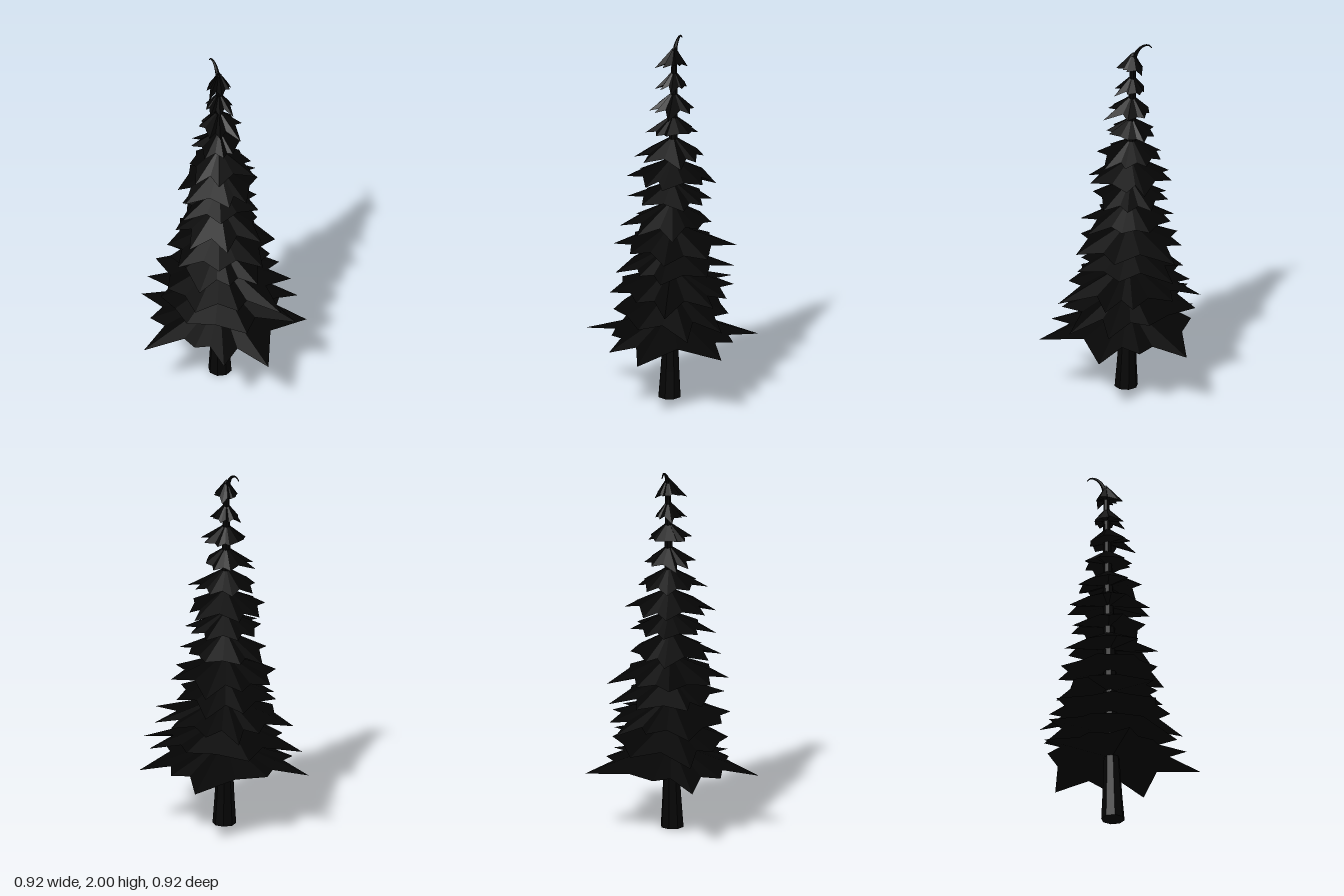
import * as THREE from 'three';

const bark = new THREE.MeshStandardMaterial({ color: 0x040404, flatShading: true });
const needles = new THREE.MeshStandardMaterial({ color: 0x040404, flatShading: true, side: THREE.DoubleSide });

// Small seeded generator returning values in -1..1
let seed = 11;
const jitter = () => {
  seed = (seed * 16807) % 2147483647;
  return (seed / 2147483647) * 2 - 1;
};

// The trunk leans slightly: offset of its axis (same in x and z) at a height
const axis = y => 0.012 - 0.0135 * y;

// Upper tiers: apex height, tip height, then reach to -x, +x, +z, -z
const upperTiers = [
  [1.96, 1.84, 0.065, 0.055, 0.09, 0.085],
  [1.83, 1.72, 0.095, 0.095, 0.09, 0.08],
  [1.71, 1.59, 0.10, 0.155, 0.12, 0.12],
  [1.58, 1.465, 0.17, 0.11, 0.14, 0.14],
  [1.46, 1.335, 0.18, 0.20, 0.20, 0.17],
  [1.34, 1.215, 0.225, 0.215, 0.24, 0.235],
  [1.21, 1.095, 0.20, 0.21, 0.24, 0.215],
  [1.10, 0.955, 0.25, 0.275, 0.275, 0.21],
  [0.97, 0.825, 0.285, 0.315, 0.31, 0.345],
  [0.85, 0.71, 0.27, 0.295, 0.30, 0.335],
];

// Lower tiers: apex height, tip height, branch tips as x, z
const lowerTiers = [
  [0.73, 0.58, [[0.435, 0.04], [0.26, 0.19], [0.08, 0.33], [-0.15, 0.26], [-0.375, 0.06],
    [-0.28, -0.16], [-0.24, -0.32], [-0.05, -0.33], [0.18, -0.29], [0.31, -0.22]]],
  [0.61, 0.45, [[0.445, -0.08], [0.31, 0.18], [0.01, 0.31], [-0.24, 0.2],
    [-0.425, 0.065], [-0.26, -0.24], [0.08, -0.3], [0.32, -0.265]]],
  [0.48, 0.32, [[0.455, 0.185], [0.272, 0.335], [0.07, 0.32], [-0.165, 0.457], [-0.28, 0.24],
    [-0.46, 0.07], [-0.312, -0.125], [-0.05, -0.46], [0.16, -0.325], [0.38, -0.262]]],
];

// Four long branches roughly on the axes with shorter ones between
function scatterTips([, , left, right, front, back]) {
  const j = () => jitter() * 0.3;
  const main = [[right, right * j()], [front * j(), front], [-left, left * j()], [back * j(), -back]];
  return main.flatMap((p, i) => {
    const q = main[(i + 1) % 4];
    const r = 0.45 * (Math.hypot(...p) + Math.hypot(...q)) * (1 + 0.1 * jitter());
    const a = (i + 0.5) * Math.PI / 2 + 0.2 * jitter();
    return [p, [r * Math.cos(a), r * Math.sin(a)]];
  });
}

// A star-shaped cone: long tips hang lowest, notches sit higher on the slope
function branchTier(apexY, tipY, tips) {
  const c = axis(apexY);
  const drop = apexY - tipY;
  const apex = [c, apexY, c];
  const under = [c, tipY + 0.26 * drop, c];
  const sorted = tips.map(([x, z]) => ({ a: Math.atan2(z, x), r: Math.hypot(x, z), x, z }))
    .sort((p, q) => p.a - q.a);
  const mean = sorted.reduce((s, p) => s + p.r, 0) / sorted.length;
  const longest = Math.max(...sorted.map(p => p.r));
  const ring = [];
  sorted.forEach((p, i) => {
    const q = sorted[(i + 1) % sorted.length];
    const gap = (q.a - p.a + Math.PI * 2) % (Math.PI * 2);
    const mid = p.a + gap / 2;
    const r = Math.min(0.74 * mean, 0.9 * Math.min(p.r, q.r));
    ring.push([p.x, tipY + 0.75 * drop * (1 - p.r / longest), p.z]);
    ring.push([c + r * Math.cos(mid), tipY + drop * (0.27 + 0.05 * jitter()), c + r * Math.sin(mid)]);
  });
  const verts = [];
  ring.forEach((a, i) => {
    const b = ring[(i + 1) % ring.length];
    verts.push(...apex, ...b, ...a, ...under, ...a, ...b);
  });
  const geo = new THREE.BufferGeometry();
  geo.setAttribute('position', new THREE.Float32BufferAttribute(verts, 3));
  geo.computeVertexNormals();
  return new THREE.Mesh(geo, needles);
}

// Tapered trunk that follows the leaning axis
function makeTrunk() {
  const profile = [[0, 0], [0.063, 0], [0.053, 0.15], [0.042, 0.36], [0.034, 1], [0.024, 1.5], [0.015, 1.94], [0, 1.95]];
  const geo = new THREE.LatheGeometry(profile.map(p => new THREE.Vector2(...p)), 8, Math.PI / 8);
  const pos = geo.attributes.position;
  for (let i = 0; i < pos.count; i++) {
    const o = axis(pos.getY(i));
    pos.setX(i, pos.getX(i) + o);
    pos.setZ(i, pos.getZ(i) + o);
  }
  geo.computeVertexNormals();
  return new THREE.Mesh(geo, bark);
}

// Thin shoot at the top, curling over and narrowing to a point
function makeLeader() {
  const curve = new THREE.CatmullRomCurve3([
    [-0.014, 1.9, -0.014], [-0.03, 1.95, -0.02], [-0.05, 1.98, -0.03],
    [-0.075, 1.994, -0.042], [-0.095, 1.99, -0.05], [-0.107, 1.975, -0.055],
  ].map(p => new THREE.Vector3(...p)));
  const steps = 14, sides = 6;
  const geo = new THREE.TubeGeometry(curve, steps, 0.015, sides);
  const pos = geo.attributes.position;
  const v = new THREE.Vector3();
  for (let i = 0; i < pos.count; i++) {
    const t = Math.floor(i / (sides + 1)) / steps;
    const centre = curve.getPointAt(t);
    v.fromBufferAttribute(pos, i).sub(centre).multiplyScalar(1 - 0.85 * t).add(centre);
    pos.setXYZ(i, v.x, v.y, v.z);
  }
  geo.computeVertexNormals();
  return new THREE.Mesh(geo, bark);
}

export function createModel() {
  const tree = new THREE.Group();
  tree.name = 'pineTree';

  const trunk = makeTrunk();
  trunk.name = 'trunk';
  const leader = makeLeader();
  leader.name = 'curledTip';
  tree.add(trunk, leader);

  const branches = new THREE.Group();
  branches.name = 'branches';
  upperTiers.forEach(t => branches.add(branchTier(t[0], t[1], scatterTips(t))));
  lowerTiers.forEach(t => branches.add(branchTier(...t)));
  branches.children.forEach((m, i) => { m.name = `branchTier${i + 1}`; });
  tree.add(branches);

  return tree;
}
